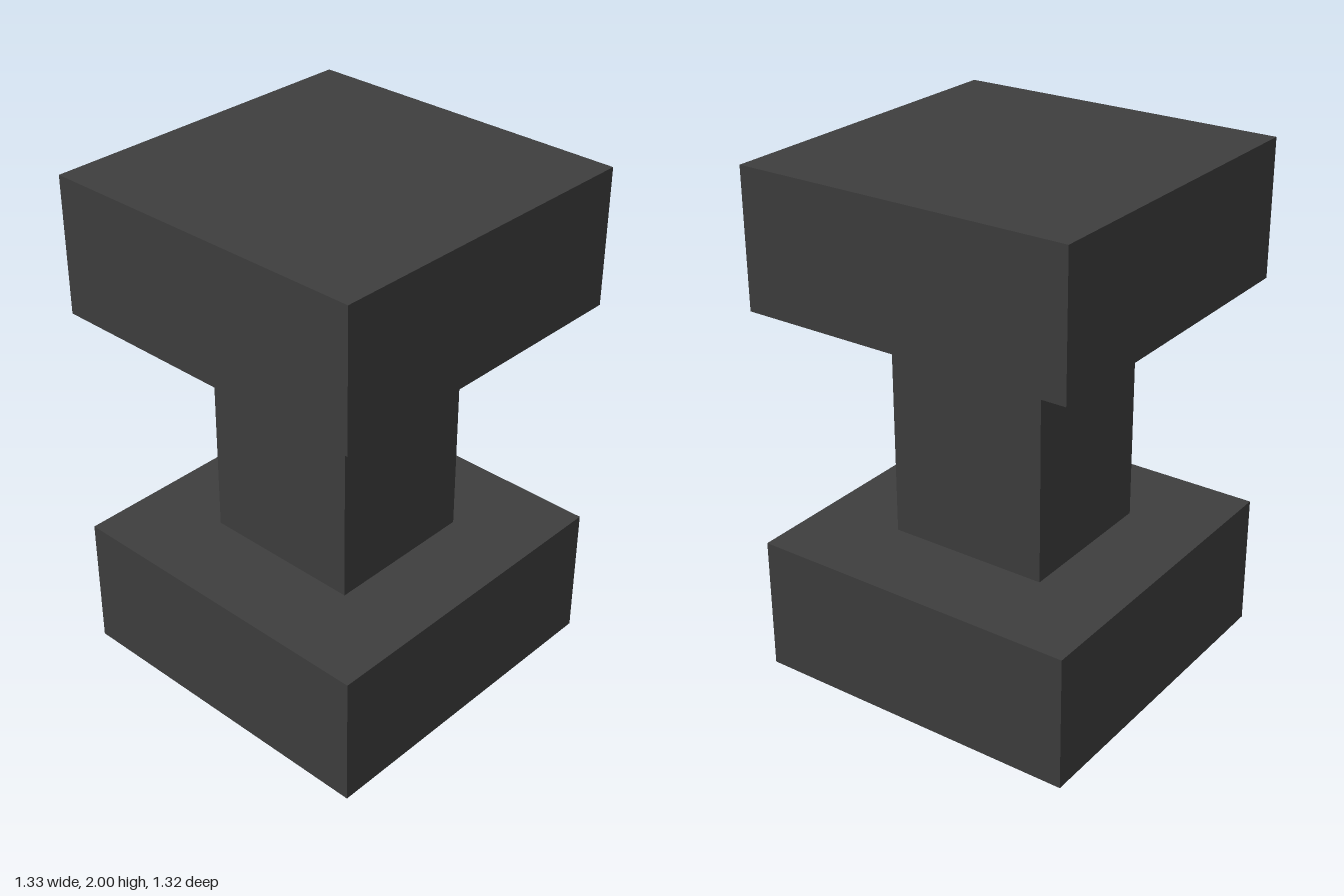
import * as THREE from 'three';

export function createModel() {
  const model = new THREE.Group();
  const charcoal = new THREE.MeshStandardMaterial({ color: 0x3e3e3e });
  charcoal.name = 'charcoal';

  // Adds a box resting at height y
  function addBlock(name, width, height, depth, x, y) {
    const mesh = new THREE.Mesh(new THREE.BoxGeometry(width, height, depth), charcoal);
    mesh.name = name;
    mesh.position.set(x, y + height / 2, 0);
    model.add(mesh);
  }

  // Square base and cap joined by a narrower column
  addBlock('base', 1.323, 0.532, 1.323, 0.002, 0);
  addBlock('column', 0.615, 0.936, 0.65, -0.004, 0.532);
  addBlock('cap', 1.323, 0.532, 1.323, -0.002, 1.468);

  return model;
}
